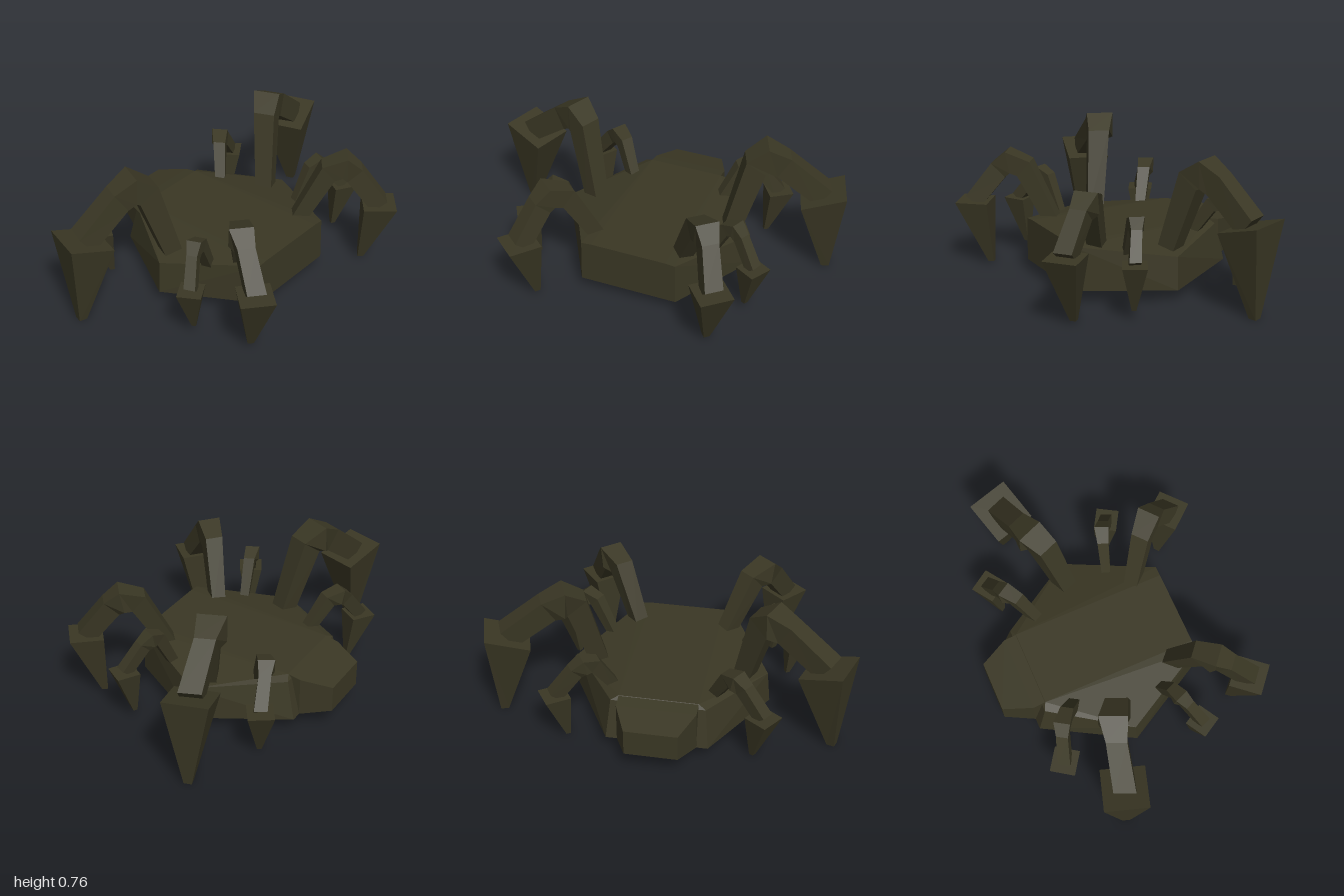
import * as THREE from 'three';
import { ConvexGeometry } from 'three/addons/geometries/ConvexGeometry.js';

const shell = new THREE.MeshStandardMaterial({ color: 0x3a3724, flatShading: true });
shell.name = 'dark olive shell';

const V = (x, y, z) => new THREE.Vector3(x, y, z);

// Closed solid through rings of four corners, always wound outwards
function loft(rings) {
  const tris = [];
  const quad = (a, b, c, d) => tris.push([a, b, c], [a, c, d]);
  for (let i = 0; i < rings.length - 1; i++) {
    for (let j = 0; j < 4; j++) {
      const k = (j + 1) % 4;
      quad(rings[i][j], rings[i][k], rings[i + 1][k], rings[i + 1][j]);
    }
  }
  quad(...[...rings[0]].reverse());
  quad(...rings[rings.length - 1]);
  const origin = rings[0][0];
  let volume = 0;
  for (const [a, b, c] of tris) {
    volume += a.clone().sub(origin).dot(b.clone().sub(origin).cross(c.clone().sub(origin)));
  }
  if (volume < 0) tris.forEach(t => t.reverse());
  const geo = new THREE.BufferGeometry().setFromPoints(tris.flat());
  geo.computeVertexNormals();
  return geo;
}

// Limb from base over a thick knee, pinched behind it, down to the claw
function limb(base, knee, end, size) {
  const between = (a, b, flat, rise) => V(
    THREE.MathUtils.lerp(a.x, b.x, flat),
    THREE.MathUtils.lerp(a.y, b.y, rise),
    THREE.MathUtils.lerp(a.z, b.z, flat));
  const pts = [base, between(base, knee, 0.66, 0.91), knee, between(knee, end, 0.28, 0.21), end];
  const widths = [0.6, 0.78, 1, 0.72, 0.78];
  const heights = [0.62, 0.87, 0.96, 0.86, 0.8];
  const dir = end.clone().sub(base).setY(0).normalize();
  const side = V(dir.z, 0, -dir.x);
  return loft(pts.map((p, i) => {
    const before = p.clone().sub(pts[Math.max(i - 1, 0)]).normalize();
    const after = pts[Math.min(i + 1, 4)].clone().sub(p).normalize();
    const up = before.add(after).normalize().cross(side).normalize();
    return [0, 1, 2, 3].map(k => {
      const a = Math.PI / 4 + k * Math.PI / 2;
      return p.clone()
        .addScaledVector(side, Math.cos(a) * Math.SQRT1_2 * widths[i] * size)
        .addScaledVector(up, Math.sin(a) * Math.SQRT1_2 * heights[i] * size);
    });
  }));
}

// Tapered claw: a turned square top, tilted outwards, shrinking to a blunt tip
function claw(centre, tip, size, yaw, tilt, s) {
  const square = (c, width, lift) => [0, 1, 2, 3].map(k => {
    const a = Math.PI / 4 + k * Math.PI / 2;
    const r = width * Math.SQRT1_2;
    return V(c.x + r * Math.cos(yaw + a), c.y + lift * Math.sin(a), c.z + s * r * Math.sin(yaw + a));
  });
  return loft([square(centre, size, tilt), square(tip, size * 0.18, 0)]);
}

// Limb runs base, knee, top of claw; the claw then drops to its tip
const LEGS = [
  { name: 'largeLeg', base: [-0.105, 0.22, 0.39], knee: [-0.232, 0.69, 0.55], thick: 0.15,
    top: [-0.297, 0.48, 0.848], tip: [-0.305, 0, 0.895], size: 0.236, yaw: 0.31, tilt: 0.05 },
  { name: 'mediumLeg', base: [0.225, 0.25, 0.235], knee: [0.40, 0.60, 0.435], thick: 0.125,
    top: [0.573, 0.375, 0.53], tip: [0.505, 0.015, 0.485], size: 0.178, yaw: 0.71, tilt: 0 },
  { name: 'smallLeg', base: [-0.325, 0.24, 0.255], knee: [-0.455, 0.455, 0.40], thick: 0.088,
    top: [-0.508, 0.28, 0.546], tip: [-0.475, 0.01, 0.495], size: 0.136, yaw: 0.6, tilt: 0 },
  { name: 'tinyLeg', base: [0.125, 0.24, 0.36], knee: [0.165, 0.475, 0.52], thick: 0.078,
    top: [0.247, 0.31, 0.643], tip: [0.225, 0.05, 0.60], size: 0.126, yaw: 1.04, tilt: 0 },
];

export function createModel() {
  const model = new THREE.Group();
  model.name = 'crab';
  const add = (parent, geo, name) => {
    const mesh = new THREE.Mesh(geo, shell);
    mesh.name = name;
    parent.add(mesh);
  };
  const mirrored = pts => pts.flatMap(([x, y, z]) => [V(x, y, z), V(x, y, -z)]);

  // Faceted six-sided body with a raised middle strip
  add(model, new ConvexGeometry(mirrored([
    [0.385, 0.07, 0.27], [-0.08, 0.07, 0.535], [-0.55, 0.07, 0.27],
    [0.385, 0.31, 0.265], [-0.085, 0.25, 0.52], [-0.50, 0.28, 0.25],
    [0.385, 0.315, 0.21], [-0.48, 0.30, 0.21],
  ])), 'body');

  // Tapered nose
  add(model, new ConvexGeometry(mirrored([
    [-0.705, 0.105, 0.14], [-0.705, 0.25, 0.14],
    [-0.55, 0.07, 0.21], [-0.55, 0.285, 0.21],
    [-0.48, 0.07, 0.21], [-0.48, 0.298, 0.21],
  ])), 'nose');

  // Four legs on each side
  for (const s of [1, -1]) {
    const at = ([x, y, z]) => V(x, y, z * s);
    for (const { name, base, knee, thick, top, tip, size, yaw, tilt } of LEGS) {
      const leg = new THREE.Group();
      leg.name = name + (s > 0 ? 'Front' : 'Back');
      add(leg, limb(at(base), at(knee), at(top), thick), 'limb');
      add(leg, claw(at(top), at(tip), size, yaw, tilt, s), 'claw');
      model.add(leg);
    }
  }
  return model;
}
